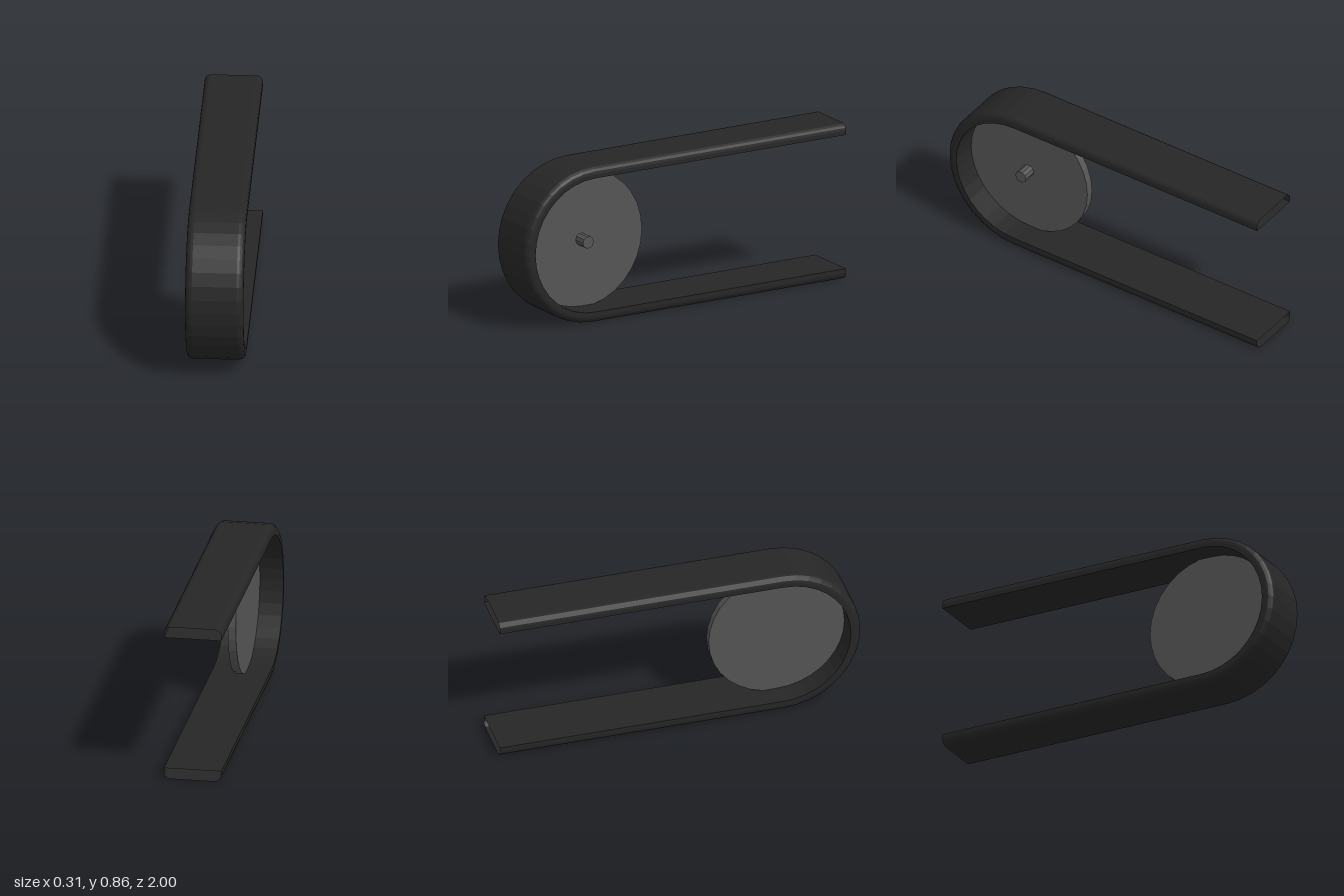
import * as THREE from 'three';

const AXIS_Y = 0.43, AXIS_Z = 0.57;
const OUTER = 0.43, INNER = 0.37, HALF_WIDTH = 0.155;

// Belt cross-section as [x, distance from the wheel axis]; outer corners are rounded
function beltSection() {
  const round = 0.036, steps = 4, points = [[-HALF_WIDTH, INNER]];
  for (const side of [-1, 1]) {
    for (let i = 0; i <= steps; i++) {
      const t = (side < 0 ? i : steps - i) / steps * Math.PI / 2;
      points.push([
        side * (HALF_WIDTH - round + round * Math.cos(t)),
        OUTER - round + round * Math.sin(t),
      ]);
    }
  }
  points.push([HALF_WIDTH, INNER]);
  return points;
}

// Hollow belt: the section swept along the top run, round the wheel and back
function beltGeometry() {
  const section = beltSection(), n = section.length, arcSteps = 18;
  const stations = [[-1, 0]];
  for (let i = 0; i <= arcSteps; i++) stations.push([AXIS_Z, i / arcSteps * Math.PI]);
  stations.push([-1, Math.PI]);

  const positions = [], indices = [];
  for (const [z, angle] of stations) {
    for (const [x, r] of section) {
      positions.push(x, AXIS_Y + r * Math.cos(angle), z + r * Math.sin(angle));
    }
  }
  for (let s = 0; s < stations.length - 1; s++) {
    for (let k = 0; k < n; k++) {
      const a = s * n + k, b = s * n + (k + 1) % n;
      indices.push(a, a + n, b, b, a + n, b + n);
    }
  }
  const geometry = new THREE.BufferGeometry();
  geometry.setAttribute('position', new THREE.Float32BufferAttribute(positions, 3));
  geometry.setIndex(indices);
  geometry.computeVertexNormals();
  return geometry;
}

// Cylinder lying along x between two x positions, centred on the wheel axis
function axialCylinder(name, radius, x0, x1, sides, material) {
  const geometry = new THREE.CylinderGeometry(radius, radius, x1 - x0, sides);
  geometry.rotateZ(-Math.PI / 2);
  const mesh = new THREE.Mesh(geometry, material);
  mesh.name = name;
  mesh.position.set((x0 + x1) / 2, AXIS_Y, AXIS_Z);
  return mesh;
}

export function createModel() {
  const group = new THREE.Group();
  group.name = 'beltAndPulley';

  const rubber = new THREE.MeshStandardMaterial({
    color: 0x262626, flatShading: true, side: THREE.DoubleSide,
  });
  const metal = new THREE.MeshStandardMaterial({ color: 0x555555, flatShading: true });

  const belt = new THREE.Mesh(beltGeometry(), rubber);
  belt.name = 'belt';
  group.add(belt);

  // Thin pulley disc with a stub axle on its left face
  group.add(axialCylinder('pulleyDisc', 0.38, -0.028, 0.016, 32, metal));
  group.add(axialCylinder('axle', 0.034, 0.01, 0.09, 10, metal));
  return group;
}
